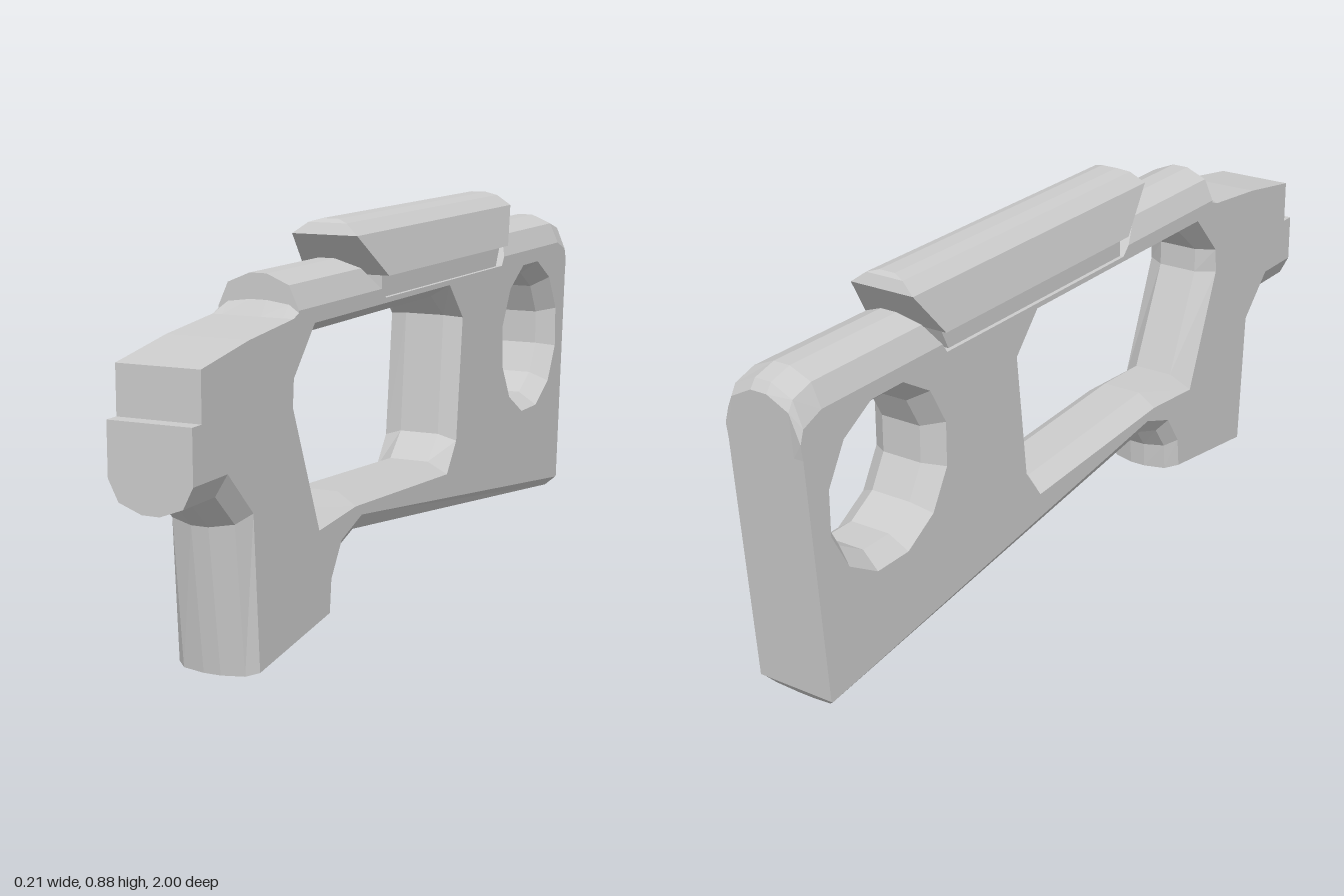
import * as THREE from 'three';

const HALF = 0.095; // half thickness of the body

// Collects flat-shaded polygons
function makeBuilder() {
  const pos = [];
  return {
    tri: (a, b, c) => pos.push(...a, ...b, ...c),
    quad(a, b, c, d) { this.tri(a, b, c); this.tri(a, c, d); },
    mesh(name) {
      const g = new THREE.BufferGeometry();
      g.setAttribute('position', new THREE.Float32BufferAttribute(pos, 3));
      g.computeVertexNormals();
      const m = new THREE.Mesh(g, new THREE.MeshStandardMaterial({ color: 0xcccccc, flatShading: true }));
      m.name = name;
      return m;
    },
  };
}

// Side outline, front to top to rear to bottom: z, y at mid plane, then shift (dz, dy) at the side faces
const OUTLINE = [
  [1, 0.56, 0, 0], [0.965, 0.56, 0, 0], [0.965, 0.665, 0, 0], [0.78, 0.695, 0, 0], [0.595, 0.713, 0, 0],
  [0.57, 0.745, 0, -0.023], [0.57, 0.8, 0, -0.073], [0.26, 0.8, -0.083, -0.073],
  [0.155, 0.705, 0, 0], [-0.53, 0.705, 0, 0],
  [-0.6, 0.8, 0.055, -0.073], [-0.93, 0.8, 0, -0.073], [-0.985, 0.785, 0, -0.08], [-1, 0.765, 0.005, -0.09],
  [-0.99, 0.64, 0, 0], [-0.945, 0.078, 0, 0], [-0.915, 0.045, -0.025, 0.03],
  [0.28, 0.185, 0, 0.05], [0.35, 0.162, 0.03, 0.038], [0.388, 0.11, 0.042, 0.015], [0.393, 0.047, 0.045, 0.004],
  [0.78, 0.001, -0.03, 0.007], [0.82, 0.32, -0.05, 0.025], [0.885, 0.38, -0.015, 0.065], [1, 0.38, 0, 0.065],
];

// Large window: z, y at the side face, then z, y at the narrow middle
const WINDOW = [
  [0.5, 0.693, 0.48, 0.665], [0.595, 0.59, 0.57, 0.59], [0.6, 0.53, 0.57, 0.53], [0.485, 0.245, 0.46, 0.285],
  [0.31, 0.26, 0.31, 0.29], [-0.19, 0.232, -0.175, 0.262], [-0.245, 0.305, -0.235, 0.32],
  [-0.28, 0.605, -0.265, 0.61], [-0.2, 0.693, -0.19, 0.665],
];

function createBody() {
  const b = makeBuilder();
  // Joins loops of [z, y] placed at successive x
  const strips = (layers) => {
    for (let k = 0; k < layers.length - 1; k++) {
      const [x0, l0] = layers[k], [x1, l1] = layers[k + 1];
      l0.forEach((_, i) => {
        const j = (i + 1) % l0.length;
        const p = (x, q) => [x, q[1], q[0]];
        b.quad(p(x0, l0[i]), p(x1, l1[i]), p(x1, l1[j]), p(x0, l0[j]));
      });
    }
  };

  // Outer skin with rounded edges
  const ring = (t) => OUTLINE.map(([z, y, dz, dy]) => [z + dz * t, y + dy * t]);
  strips([[-HALF, 1], [-0.072, 0.3], [-0.02, 0], [0.02, 0], [0.072, 0.3], [HALF, 1]].map(([x, t]) => [x, ring(t)]));

  // Holes, each chamfered on both sides
  const round = (s) => Array.from({ length: 12 }, (_, i) => {
    const a = (i + 0.5) * Math.PI / 6;
    return [-0.73 - 0.197 * s * Math.cos(a), 0.498 + 0.2 * s * Math.sin(a)];
  });
  const holes = [
    [WINDOW.map((p) => p.slice(0, 2)), WINDOW.map((p) => p.slice(2))],
    [round(1), round(0.83)],
  ];
  for (const [wide, narrow] of holes) {
    strips([[-HALF, wide], [-0.05, narrow], [0.05, narrow], [HALF, wide]]);
  }

  // Flat side faces
  const loops = [ring(1), ...holes.map((h) => h[0])].map((l) => l.map((p) => new THREE.Vector2(...p)));
  const faces = THREE.ShapeUtils.triangulateShape(loops[0], loops.slice(1));
  const pts = loops.flat();
  for (const f of faces) {
    let [p, q, r] = f.map((i) => pts[i]);
    if (THREE.ShapeUtils.area([p, q, r]) > 0) [q, r] = [r, q];
    const at = (x, v) => [x, v.y, v.x];
    b.tri(at(HALF, p), at(HALF, q), at(HALF, r));
    b.tri(at(-HALF, p), at(-HALF, r), at(-HALF, q));
  }
  return b.mesh('body');
}

// Stacks rectangles given as [y, half width, front z, back z]
function createStack(name, levels) {
  const b = makeBuilder();
  const rings = levels.map(([y, w, f, k]) => [[-w, y, f], [w, y, f], [w, y, k], [-w, y, k]]);
  for (let n = 0; n < rings.length - 1; n++) {
    const lo = rings[n], hi = rings[n + 1];
    for (let i = 0; i < 4; i++) {
      const j = (i + 1) % 4;
      b.quad(lo[i], lo[j], hi[j], hi[i]);
    }
  }
  b.quad(...rings[rings.length - 1]);
  b.quad(...[...rings[0]].reverse());
  return b.mesh(name);
}

export function createModel() {
  const group = new THREE.Group();
  group.name = 'stock';
  group.add(createBody());
  group.add(createStack('cheekRestSupport', [[0.7, 0.085, 0.155, -0.51], [0.76, 0.085, 0.155, -0.54]]));
  group.add(createStack('cheekRest', [
    [0.755, 0.105, 0.16, -0.545], [0.852, 0.08, 0.27, -0.62],
    [0.877, 0.047, 0.255, -0.61], [0.885, 0.02, 0.24, -0.6],
  ]));
  return group;
}
